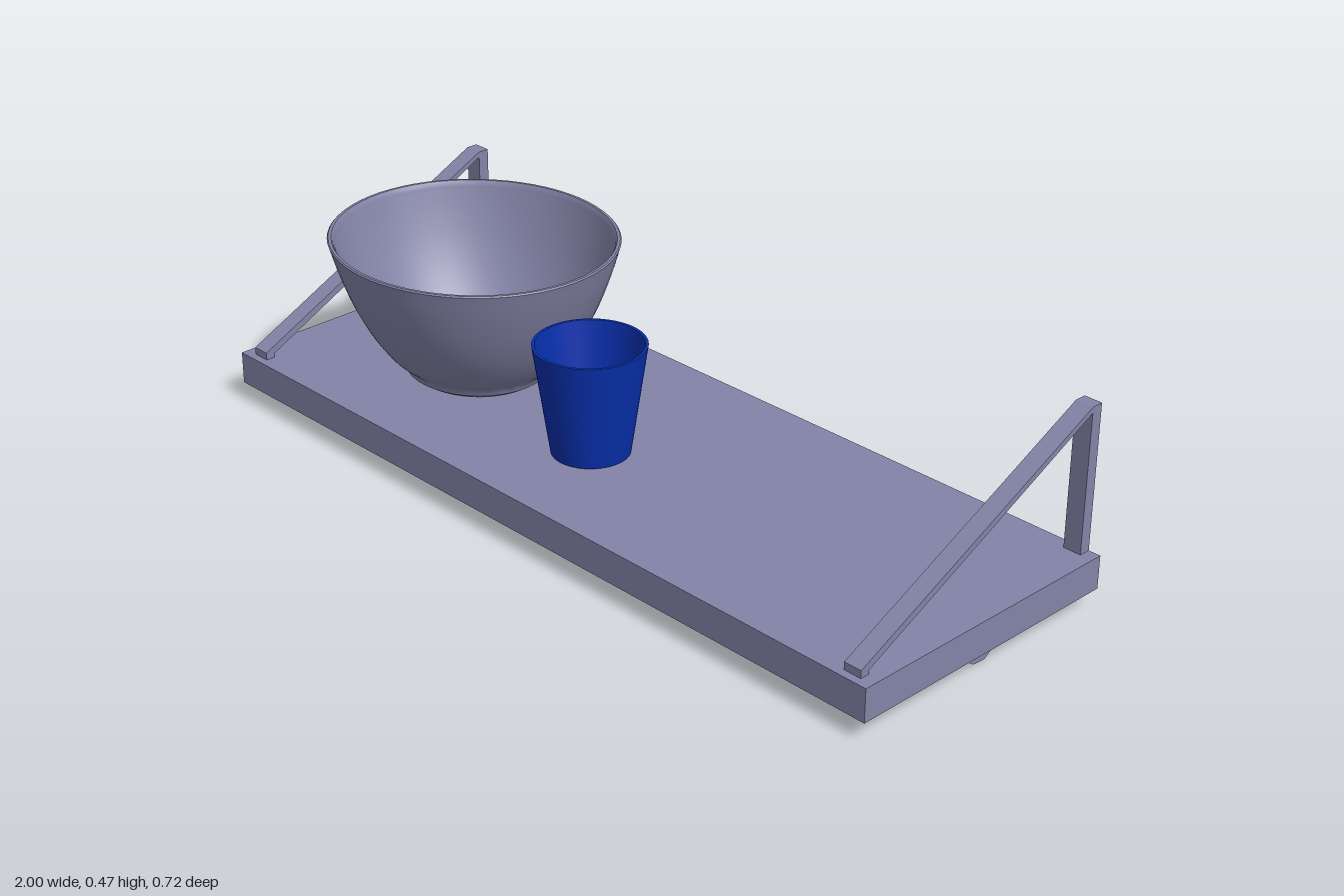
import * as THREE from 'three';
import { toCreasedNormals } from 'three/addons/utils/BufferGeometryUtils.js';

const slate = new THREE.MeshStandardMaterial({ color: 0x8383a7 });
const blue = new THREE.MeshStandardMaterial({ color: 0x082fab });
const toVectors = (points) => points.map(([a, b]) => new THREE.Vector2(a, b));

// Extrudes a side profile given as (z, y) along x, centred on x = 0.
function sideProfile(outline, width) {
  const shape = new THREE.Shape(toVectors(outline));
  const geometry = new THREE.ExtrudeGeometry(shape, { depth: width, bevelEnabled: false });
  return geometry.translate(0, 0, -width / 2).rotateY(-Math.PI / 2);
}

// Turns a profile of (radius, y) into a vessel, keeping sharp edges.
function turned(profile, segments = 64) {
  return toCreasedNormals(new THREE.LatheGeometry(toVectors(profile), segments), 0.6);
}

function smooth(points, count) {
  return new THREE.SplineCurve(toVectors(points)).getPoints(count).map((p) => [p.x, p.y]);
}

export function createModel() {
  const model = new THREE.Group();
  const add = (name, geometry, material, x = 0, y = 0, z = 0) => {
    const mesh = new THREE.Mesh(geometry, material);
    mesh.name = name;
    mesh.position.set(x, y, z);
    model.add(mesh);
    return mesh;
  };

  // Shelf board
  add('shelfBoard', new THREE.BoxGeometry(2, 0.079, 0.72), slate, 0, 0.0835, 0);

  // End brackets: rear post, sloping rail and small front foot
  const bracket = sideProfile([
    [-0.36, 0.123], [-0.332, 0.123], [-0.332, 0.453], [0.318, 0.133], [0.318, 0.123],
    [0.341, 0.123], [0.341, 0.141], [-0.332, 0.467], [-0.36, 0.467],
  ], 0.044);
  for (const side of [-1, 1]) {
    add(side > 0 ? 'leftBracket' : 'rightBracket', bracket, slate, side * 0.948, 0, 0);
  }

  // Row of hooks under the board, softly shaded round the bend
  const hook = toCreasedNormals(sideProfile([
    [-0.035, 0.045], [-0.072, 0.045], [-0.066, 0.021], [-0.035, 0], [0, 0.003],
    [0.024, 0.021], [0.003, 0.03], [-0.004, 0.027], [-0.022, 0.027], [-0.033, 0.033],
  ], 0.044), 1);
  [-0.948, -0.489, 0, 0.487, 0.948].forEach((x, i) => add('hook' + (i + 1), hook, slate, x));

  // Bowl, slightly oval, with a low foot ring
  const bowl = add('bowl', turned([
    [0, 0.124], [0.156, 0.124], [0.176, 0.137], [0.181, 0.152],
    ...smooth([[0.187, 0.157], [0.222, 0.188], [0.266, 0.25], [0.302, 0.32], [0.331, 0.395], [0.35, 0.457]], 20),
    [0.352, 0.463], [0.349, 0.466], [0.342, 0.466], [0.338, 0.46],
    ...smooth([[0.336, 0.452], [0.316, 0.39], [0.288, 0.32], [0.25, 0.25], [0.205, 0.193], [0.15, 0.165]], 20),
    [0.1, 0.158], [0, 0.157],
  ]), slate, -0.546, 0, 0.007);
  bowl.scale.z = 0.931;

  // Tapered cup
  add('cup', turned([
    [0, 0.127], [0.09, 0.127], [0.128, 0.388], [0.121, 0.388], [0.081, 0.14], [0, 0.14],
  ], 48), blue, -0.06, 0, 0.093);

  return model;
}
